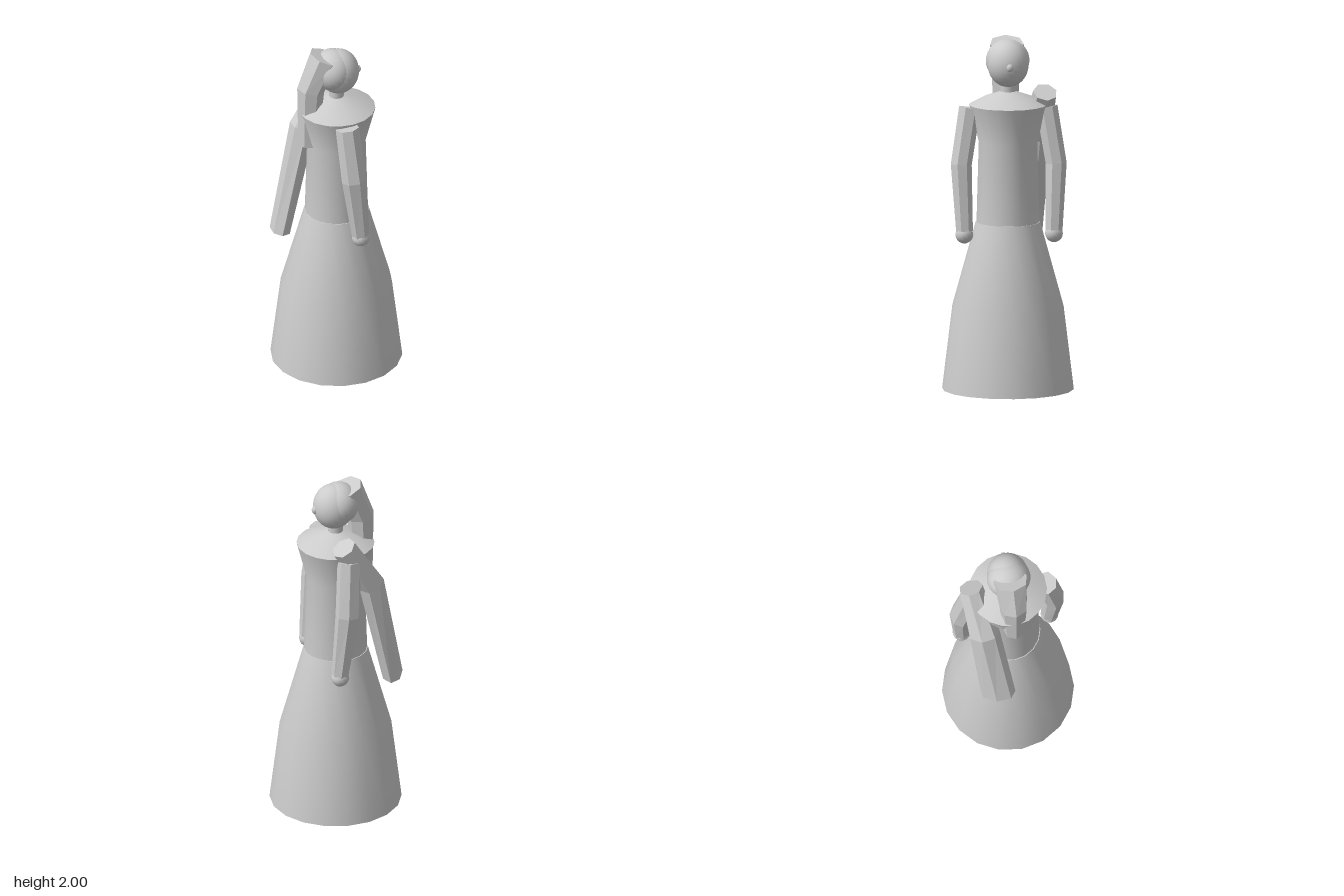
import * as THREE from 'three';

const smooth = new THREE.MeshStandardMaterial({ color: 0xcccccc });
const faceted = new THREE.MeshStandardMaterial({ color: 0xcccccc, flatShading: true });

export function createModel() {
  const model = new THREE.Group();
  model.name = 'robedFigure';

  const add = (name, geometry, material = smooth) => {
    const mesh = new THREE.Mesh(geometry, material);
    mesh.name = name;
    model.add(mesh);
    return mesh;
  };

  // Turned part from [radius, y] pairs, 18 sides with a corner on +x
  const turned = (name, profile) => add(name, new THREE.LatheGeometry(
    profile.map(([r, y]) => new THREE.Vector2(r, y)), 18, Math.PI / 2));

  // Ellipsoid with its poles up and down
  const ball = (name, pos, radii, w = 24, h = 16) => {
    const mesh = add(name, new THREE.SphereGeometry(1, w, h));
    mesh.position.set(...pos);
    mesh.scale.set(...radii);
    return mesh;
  };

  // Capped seven-sided limb through rings [x, y, z, radiusX, radiusZ], top to bottom
  const limb = (name, rings, yaw = 0) => {
    const last = rings.length - 1;
    const centres = rings.map(([x, y, z]) => new THREE.Vector3(x, y, z));
    const up = new THREE.Vector3(0, 1, 0);
    const frames = rings.map((_, i) => new THREE.Quaternion().setFromUnitVectors(up,
      centres[Math.max(i - 1, 0)].clone().sub(centres[Math.min(i + 1, last)]).normalize()));
    const geo = new THREE.CylinderGeometry(1, 1, 1, 7, last, false, -Math.PI / 2);
    const pos = geo.attributes.position;
    const v = new THREE.Vector3();
    for (let k = 0; k < pos.count; k++) {
      v.fromBufferAttribute(pos, k);
      const i = Math.round((0.5 - v.y) * last);
      const [, , , rx, rz = rx] = rings[i];
      v.set(v.x * rx, 0, v.z * rz).applyAxisAngle(up, yaw).applyQuaternion(frames[i]).add(centres[i]);
      pos.setXYZ(k, v.x, v.y, v.z);
    }
    geo.computeVertexNormals();
    return add(name, geo, faceted);
  };

  // Gown: closed hem, flared skirt, bodice and sloping shoulders
  turned('hem', [[0, 0.03], [0.367, 0.03]]);
  turned('skirt', [[0.367, 0.03], [0.31, 0.5], [0.18, 0.97]]);
  turned('waist', [[0.18, 0.97], [0, 0.97]]);
  turned('bodice', [[0.176, 0.96], [0.163, 1.42], [0.217, 1.63]]);
  turned('shoulders', [[0.217, 1.63], [0.13, 1.675], [0.04, 1.705]]);
  turned('neck', [[0.042, 1.68], [0.042, 1.78]]);

  // Head, facing +x
  ball('head', [0.01, 1.86, 0], [0.117, 0.13, 0.115]);
  ball('hairCap', [-0.02, 1.875, 0], [0.112, 0.118, 0.122]);
  ball('nose', [0.122, 1.855, 0], [0.019, 0.023, 0.02], 12, 8);

  // Hair falling down the back
  limb('backHair', [
    [-0.07, 1.965, 0, 0.085, 0.097],
    [-0.15, 1.77, 0, 0.078, 0.08],
    [-0.165, 1.42, 0, 0.056, 0.06],
  ]);

  // Long roll slung over one shoulder
  limb('shoulderRoll', [
    [0.03, 1.70, -0.205, 0.07, 0.068],
    [-0.145, 1.43, -0.17, 0.075, 0.09],
    [-0.29, 0.81, -0.12, 0.06, 0.1],
  ], -0.3);

  // Arms, hands and feet on both sides
  for (const [side, s] of [['front', 1], ['back', -1]]) {
    limb(side + 'Arm', [
      [0, 1.615, 0.215 * s, 0.067, 0.062],
      [0.027, 1.3, 0.265 * s, 0.072, 0.06],
      [0.067, 0.93, 0.25 * s, 0.05, 0.048],
    ]);
    ball(side + 'Hand', [0.068, 0.912, 0.25 * s], [0.05, 0.05, 0.05], 14, 10);

    const foot = add(side + 'Foot', new THREE.CapsuleGeometry(0.04, 0.18, 5, 12));
    foot.rotation.z = Math.PI / 2;
    foot.position.set(0.07, 0.04, 0.1 * s);
  }
  return model;
}
